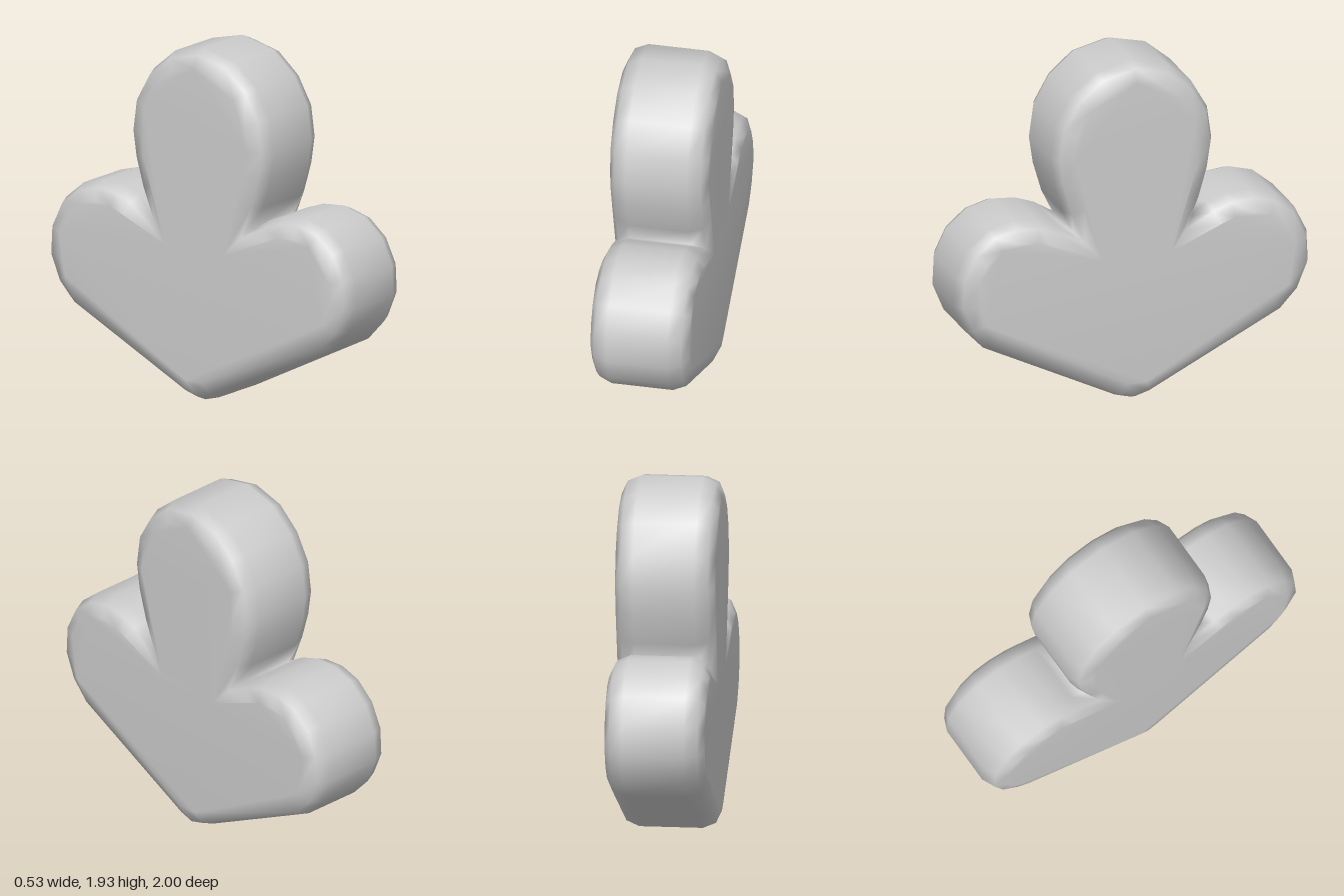
import * as THREE from 'three';

// Half of the outline as [z, y], from the top of the middle lobe to the bottom tip
const HALF = [
  [0, 1.935], [0.2, 1.887], [0.34, 1.768], [0.43, 1.61], [0.455, 1.43],
  [0.433, 1.28], [0.385, 1.115], [0.325, 0.99], [0.43, 1.055], [0.535, 1.093],
  [0.67, 1.105], [0.805, 1.068], [0.922, 0.97], [0.992, 0.825], [1, 0.66],
  [0.938, 0.51], [0.835, 0.4], [0.09, 0.028], [0, 0.003],
];
const NOTCH = 7; // index of the cleft between the lobes

// Rounded edge: [x, inset] from the right face to the left face
const RINGS = [[-0.267, 0.1], [-0.235, 0.03], [-0.165, 0], [0.165, 0], [0.235, 0.03], [0.267, 0.1]];

function insetOutline(outline, amount) {
  const n = outline.length;
  return outline.map((p, i) => {
    const a = p.clone().sub(outline[(i + n - 1) % n]).normalize();
    const b = outline[(i + 1) % n].clone().sub(p).normalize();
    const t = a.add(b).normalize();
    // the clefts sink deeper than the rest of the edge
    const depth = i === NOTCH || i === n - NOTCH ? amount * 1.95 : amount;
    return new THREE.Vector2(p.x - t.y * depth, p.y + t.x * depth);
  });
}

function lobedGeometry() {
  const outline = [
    ...HALF.map(([z, y]) => new THREE.Vector2(-z, y)),
    ...HALF.slice(1, -1).reverse().map(([z, y]) => new THREE.Vector2(z, y)),
  ];
  const n = outline.length;
  const positions = [];
  const index = [];

  // Rings and the walls between them
  RINGS.forEach(([x, inset], r) => {
    insetOutline(outline, inset).forEach((p) => positions.push(x, p.y, -p.x));
    if (r === 0) return;
    for (let k = 0; k < n; k++) {
      const a = (r - 1) * n + k;
      const b = (r - 1) * n + ((k + 1) % n);
      index.push(a, b, a + n, b, b + n, a + n);
    }
  });

  // Flat faces closing both ends
  const last = (RINGS.length - 1) * n;
  const cap = THREE.ShapeUtils.triangulateShape(insetOutline(outline, RINGS[0][1]), []);
  for (const [a, b, c] of cap) {
    index.push(last + a, last + b, last + c, a, c, b);
  }

  const geometry = new THREE.BufferGeometry();
  geometry.setAttribute('position', new THREE.Float32BufferAttribute(positions, 3));
  geometry.setIndex(index);
  geometry.computeVertexNormals();
  return geometry;
}

export function createModel() {
  const grey = new THREE.MeshStandardMaterial({ color: 0xcccccc });
  grey.name = 'light grey';

  const body = new THREE.Mesh(lobedGeometry(), grey);
  body.name = 'threeLobedBody';

  const group = new THREE.Group();
  group.name = 'threeLobedOrnament';
  group.add(body);
  return group;
}
